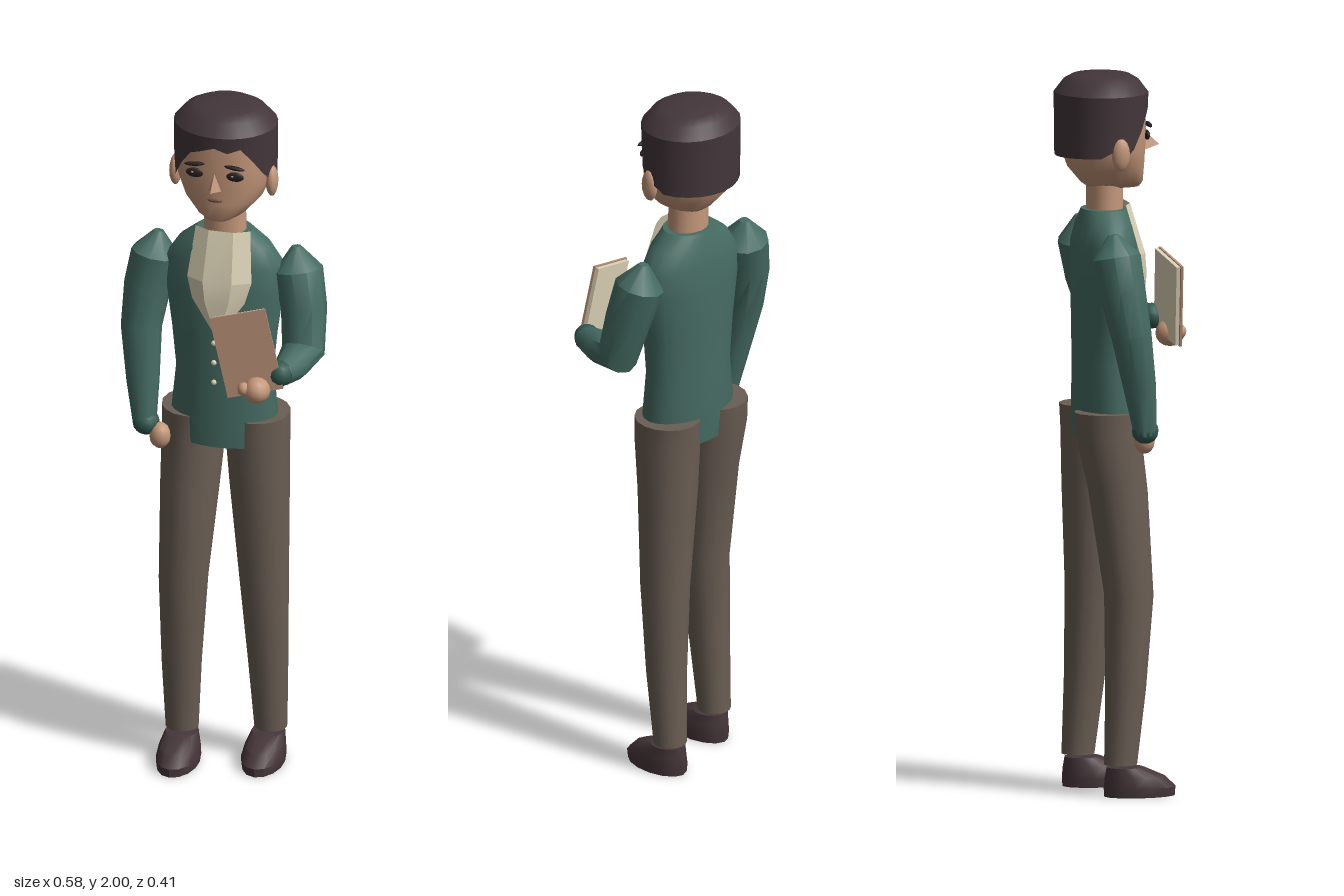
import * as THREE from 'three';
import { toCreasedNormals } from 'three/addons/utils/BufferGeometryUtils.js';

const mat = (name, color, side = THREE.FrontSide) => {
  const m = new THREE.MeshStandardMaterial({ color, side });
  m.name = name;
  return m;
};

// Skin over elliptical rings [x, y, z, radiusX, radiusZ], listed from bottom to top.
// follow: rings turn with the path; power: 2 is an ellipse, more is squarer; rim: height of the lowest ring by angle.
function loft(rings, n = 16, { follow = false, power = 2, rim = null, openBottom = false } = {}) {
  const pos = [], index = [];
  const centres = rings.map(r => new THREE.Vector3(r[0], r[1], r[2]));
  const up = new THREE.Vector3(0, 1, 0);
  const bend = v => Math.sign(v) * Math.pow(Math.abs(v), 2 / power);
  rings.forEach((r, k) => {
    const dir = centres[Math.min(k + 1, rings.length - 1)].clone()
      .sub(centres[Math.max(k - 1, 0)]).normalize();
    const q = new THREE.Quaternion();
    if (follow) q.setFromUnitVectors(up, dir);
    for (let i = 0; i < n; i++) {
      const a = i / n * Math.PI * 2;
      const p = new THREE.Vector3(bend(Math.sin(a)) * r[3], 0, bend(Math.cos(a)) * r[4])
        .applyQuaternion(q).add(centres[k]);
      if (rim && k === 0) p.y = rim(a > Math.PI ? a - Math.PI * 2 : a);
      pos.push(p.x, p.y, p.z);
    }
  });
  const last = rings.length - 1, c0 = rings.length * n, c1 = c0 + 1;
  pos.push(...centres[0].toArray(), ...centres[last].toArray());
  for (let i = 0; i < n; i++) {
    const j = (i + 1) % n;
    for (let k = 0; k < last; k++) {
      const a = k * n + i, b = k * n + j;
      index.push(a, b, b + n, a, b + n, a + n);
    }
    if (!openBottom) index.push(c0, j, i);
    index.push(c1, last * n + i, last * n + j);
  }
  return crease(pos, index);
}

function crease(pos, index, angle = 0.65) {
  const g = new THREE.BufferGeometry();
  g.setAttribute('position', new THREE.Float32BufferAttribute(pos, 3));
  g.setIndex(index);
  return toCreasedNormals(g, angle);
}

export function createModel() {
  const model = new THREE.Group();
  model.name = 'standingFigure';
  const green = mat('coatGreen', 0x466c63);
  const cuffGreen = mat('cuffGreen', 0x335a51);
  const brown = mat('trouserBrown', 0x6a5e54);
  const hairMat = mat('hairBrown', 0x43363a, THREE.DoubleSide);
  const shoeMat = mat('shoeBrown', 0x46363a);
  const skin = mat('skin', 0xc4977a);
  const cream = mat('cream', 0xdcd2b6, THREE.DoubleSide);
  const cover = mat('bookCover', 0xb48c72);
  const dark = mat('eyeDark', 0x2a2022);
  const lip = mat('lip', 0x7d4f43);

  const add = (name, geo, m, x = 0, y = 0, z = 0, parent = model) => {
    const mesh = new THREE.Mesh(geo, m);
    mesh.name = name;
    mesh.position.set(x, y, z);
    parent.add(mesh);
    return mesh;
  };
  const ball = (name, m, x, y, z, sx, sy, sz, n = 12) => {
    const b = add(name, new THREE.SphereGeometry(1, n, Math.max(6, n - 4)), m, x, y, z);
    b.scale.set(sx, sy, sz);
    return b;
  };

  // Coat
  add('coat', loft([
    [0, 0.99, -0.06, 0.145, 0.088], [0, 1.06, -0.062, 0.152, 0.092],
    [0, 1.2, -0.064, 0.138, 0.089], [0, 1.32, -0.064, 0.15, 0.09],
    [0, 1.45, -0.066, 0.168, 0.09], [0, 1.53, -0.068, 0.166, 0.086],
    [0, 1.585, -0.067, 0.13, 0.076], [0, 1.625, -0.066, 0.078, 0.064],
  ], 24), green);

  // Shirt front, a creased panel that narrows to a point
  const rows = [[1.64, 0.078, 0.0], [1.5, 0.092, 0.042], [1.44, 0.075, 0.048], [1.34, 0.004, 0.046]];
  const sPos = [], sIdx = [];
  rows.forEach(([y, w, z], k) => {
    for (const s of [-1, -0.45, 0.45, 1]) sPos.push(0.006 + s * w, y, z - (Math.abs(s) === 1 ? w * 0.28 : 0));
    if (k) for (let i = 0; i < 3; i++) {
      const a = (k - 1) * 4 + i, b = a + 4;
      sIdx.push(b, b + 1, a + 1, b, a + 1, a);
    }
  });
  add('shirtFront', crease(sPos, sIdx, 0.2), cream);
  for (const y of [1.31, 1.25, 1.19]) ball('button', cream, -0.006, y, 0.03, 0.008, 0.008, 0.007, 8);

  // Legs and shoes; the right one steps forward
  for (const [side, kneeZ, ankleZ, label] of [[-1, -0.022, -0.048, 'right'], [1, -0.082, -0.112, 'left']]) {
    add(label + 'Leg', loft([
      [side * 0.118, 0.09, ankleZ, 0.046, 0.046], [side * 0.115, 0.3, (ankleZ + kneeZ) / 2 + 0.002, 0.056, 0.057],
      [side * 0.107, 0.56, kneeZ, 0.069, 0.069], [side * 0.095, 0.85, (kneeZ - 0.078) / 2, 0.084, 0.083],
      [side * 0.091, 1.0, -0.075, 0.09, 0.092], [side * 0.091, 1.07, -0.076, 0.09, 0.095],
    ], 16), brown);
    const sz = ankleZ + 0.055;
    add(label + 'Shoe', loft([
      [side * 0.113, 0, sz, 0.056, 0.1], [side * 0.113, 0.025, sz, 0.06, 0.102],
      [side * 0.114, 0.055, sz - 0.014, 0.055, 0.085], [side * 0.115, 0.082, sz - 0.042, 0.046, 0.052],
    ], 14), shoeMat);
  }

  // Arms, from wrist to shoulder
  const arm = (name, pts) =>
    add(name, loft(pts.map(([x, y, z, r]) => [x, y, z, r, r]), 10, { follow: true }), green);
  arm('rightArm', [
    [-0.212, 1.02, 0, 0.032], [-0.222, 1.15, -0.018, 0.046], [-0.234, 1.3, -0.045, 0.057],
    [-0.222, 1.42, -0.068, 0.066], [-0.202, 1.515, -0.08, 0.069], [-0.196, 1.578, -0.088, 0.014],
  ]);
  arm('leftArm', [
    [0.214, 1.287, 0.125, 0.033], [0.226, 1.287, 0.055, 0.047], [0.235, 1.295, -0.025, 0.06],
    [0.228, 1.41, -0.058, 0.064], [0.205, 1.515, -0.08, 0.069], [0.197, 1.58, -0.088, 0.014],
  ]);

  // Cuffs and hands
  ball('rightCuff', cuffGreen, -0.208, 1.03, 0, 0.038, 0.036, 0.038);
  ball('rightHand', skin, -0.166, 0.998, 0.008, 0.03, 0.038, 0.03);
  ball('leftCuff', cuffGreen, 0.21, 1.288, 0.12, 0.036, 0.036, 0.036);
  ball('leftHand', skin, 0.153, 1.248, 0.158, 0.038, 0.038, 0.042);
  ball('leftThumb', skin, 0.12, 1.255, 0.178, 0.018, 0.02, 0.018, 10);

  // Book held against the chest
  const book = new THREE.Group();
  book.name = 'book';
  book.position.set(0.12, 1.352, 0.146);
  book.rotation.set(-0.08, 0.16, 0.24);
  model.add(book);
  add('bookCover', new THREE.BoxGeometry(0.158, 0.238, 0.007), cover, 0, 0, 0.005, book);
  add('bookPages', new THREE.BoxGeometry(0.15, 0.232, 0.011), cream, 0.002, 0, -0.004, book);

  // Neck and head
  add('neck', loft([[0, 1.58, -0.065, 0.062, 0.052], [0, 1.73, -0.065, 0.058, 0.05]], 16), skin);
  add('head', loft([
    [0, 1.685, -0.04, 0.045, 0.072], [0, 1.7, -0.046, 0.07, 0.087], [0, 1.74, -0.062, 0.108, 0.104],
    [0, 1.79, -0.07, 0.13, 0.114], [0, 1.85, -0.074, 0.136, 0.121], [0, 1.93, -0.075, 0.132, 0.118],
  ], 24, { power: 2.25 }), skin);

  // Hair cap; the lower edge is a hairline given as [degrees from the front, height]
  const line = [[0, 1.918], [30, 1.89], [50, 1.835], [72, 1.765], [88, 1.8], [105, 1.78], [180, 1.775]];
  const hairline = a => {
    const d = Math.abs(a) * 180 / Math.PI;
    const k = Math.max(1, line.findIndex(p => p[0] >= d - 1e-6));
    const [p, q] = [line[k - 1], line[k]];
    const y = p[1] + (q[1] - p[1]) * (d - p[0]) / (q[0] - p[0]);
    return a > 0.5 && a < 1.5 ? y + 0.025 : y;
  };
  add('hair', loft([
    [0, 1.8, -0.075, 0.143, 0.128], [0, 1.95, -0.075, 0.145, 0.13],
    [0, 1.983, -0.075, 0.116, 0.105], [0, 1.998, -0.075, 0.085, 0.08], [0, 2, -0.075, 0.02, 0.02],
  ], 24, { rim: hairline, openBottom: true }), hairMat);

  // Face
  for (const s of [-1, 1]) {
    ball('ear', skin, s * 0.138, 1.79, -0.052, 0.017, 0.046, 0.026);
    ball('eye', dark, s * 0.057, 1.833, 0.041, 0.026, 0.014, 0.007);
    ball('eyeGlint', cover, s * 0.057 - 0.006, 1.836, 0.0475, 0.004, 0.003, 0.002, 8);
    const brow = ball('eyebrow', dark, s * 0.057, 1.862, 0.046, 0.03, 0.006, 0.008, 10);
    brow.rotation.z = -s * 0.1;
  }
  add('nose', crease(
    [0, 1.84, 0.044, -0.02, 1.783, 0.038, 0.02, 1.783, 0.038, 0, 1.797, 0.09],
    [0, 1, 3, 0, 3, 2, 1, 2, 3]), skin);
  ball('mouth', lip, 0, 1.754, 0.041, 0.022, 0.006, 0.006, 10);

  return model;
}
